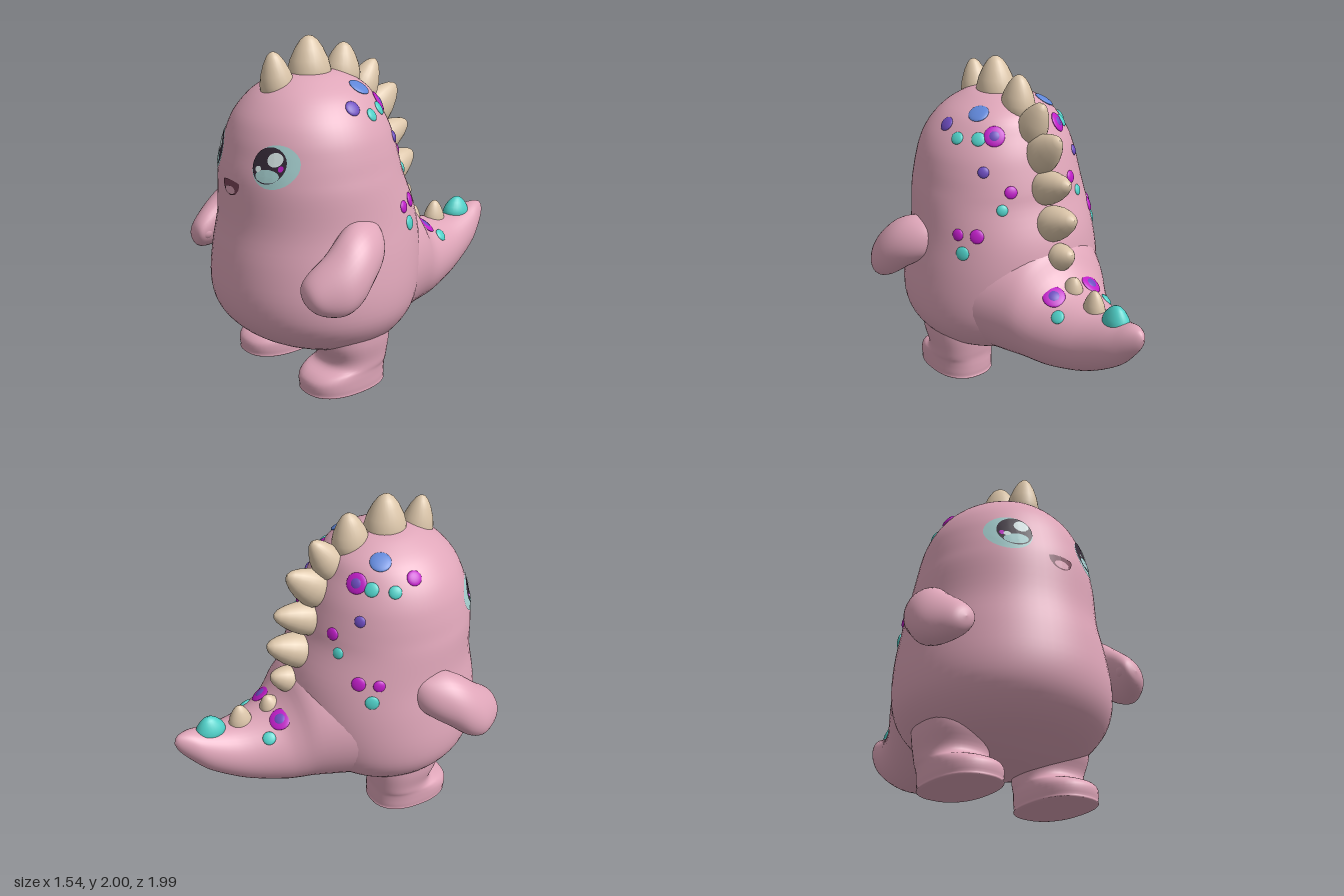
import * as THREE from 'three';

const mat = (name, color) => {
  const m = new THREE.MeshStandardMaterial({ color });
  m.name = name;
  return m;
};

// Catmull-Rom blend of two neighbouring rows of numbers
const blend = (p0, p1, p2, p3, t) => p1.map((b, i) => {
  const a = p0[i], c = p2[i], d = p3[i];
  return 0.5 * (2 * b + (c - a) * t + (2 * a - 5 * b + 4 * c - d) * t * t + (3 * b - a - 3 * c + d) * t * t * t);
});

// Smooth skin over oval sections. Row: [position, x0, x1, v0, v1].
// Axis 'y': rows rise and v is z. Axis 'z': rows run backwards and v is y.
function loft(rows, axis, { side = 1, shear = 0, sub = 4, n = 48, power = 1 } = {}) {
  const rings = [];
  for (let i = 0; i < rows.length - 1; i++) {
    for (let k = 0; k < sub; k++) {
      rings.push(blend(rows[Math.max(i - 1, 0)], rows[i], rows[i + 1], rows[Math.min(i + 2, rows.length - 1)], k / sub));
    }
  }
  rings.push(rows[rows.length - 1]);
  const pos = [], index = [];
  const soft = (v) => Math.sign(v) * Math.abs(v) ** power;
  rings.forEach(([t, x0, x1, v0, v1], i) => {
    for (let j = 0; j < n; j++) {
      const a = (j / n) * Math.PI * 2;
      const dv = soft(Math.sin(a)) * (v1 - v0) / 2;
      const x = side * ((x0 + x1) / 2 - shear * dv) + soft(Math.cos(a)) * (x1 - x0) / 2;
      const v = (v0 + v1) / 2 + dv;
      if (axis === 'y') pos.push(x, Math.max(t, 0), v);
      else pos.push(x, v, t);
      if (i < rings.length - 1) {
        const p = i * n + j, q = i * n + (j + 1) % n;
        index.push(p, p + n, q, q, p + n, q + n);
      }
    }
  });
  const g = new THREE.BufferGeometry();
  g.setAttribute('position', new THREE.Float32BufferAttribute(pos, 3));
  g.setIndex(index);
  g.computeVertexNormals();
  return g;
}

export function createModel() {
  const group = new THREE.Group();
  const skin = mat('pink skin', 0xdfa6b9);
  const horn = mat('beige horn', 0xdcc6aa);
  const teal = mat('teal', 0x4fd0c8);
  const magenta = mat('magenta', 0xc01cc8);
  const violet = mat('violet', 0x6d4cc0);
  const blue = mat('blue', 0x5f86d8);
  const pale = mat('pale eye', 0xa5cfcf);
  const dark = mat('dark pupil', 0x352a38);
  const white = mat('eye glint', 0xdcecec);
  const mouthDark = mat('mouth inside', 0x7a4558);
  const add = (name, geo, material) => {
    const m = new THREE.Mesh(geo, material);
    m.name = name;
    group.add(m);
    return m;
  };

  // Body: [y, half width, back z, front z]
  const body = add('body', loft([
    [0.19, 0, 0.37, 0.37], [0.195, 0.2, 0.12, 0.57], [0.25, 0.42, -0.02, 0.72], [0.33, 0.535, -0.12, 0.86],
    [0.45, 0.61, -0.2, 0.96], [0.6, 0.625, -0.24, 0.995], [0.8, 0.6, -0.25, 0.98], [1, 0.56, -0.22, 0.945],
    [1.2, 0.535, -0.14, 0.935], [1.3, 0.515, -0.115, 0.925], [1.4, 0.495, -0.085, 0.9], [1.5, 0.465, -0.05, 0.87],
    [1.6, 0.41, 0, 0.82], [1.7, 0.32, 0.06, 0.73], [1.77, 0.2, 0.17, 0.62], [1.8, 0.11, 0.27, 0.52], [1.81, 0, 0.4, 0.4],
  ].map(([y, w, b, f]) => [y, -w, w, b, f]), 'y', { n: 64 }), skin);

  // Tail: [z, half width, bottom y, top y]
  const tail = add('tail', loft([
    [0.3, 0.56, 0.22, 1.0], [0.15, 0.56, 0.2, 1.05], [0, 0.49, 0.2, 1.05], [-0.2, 0.385, 0.215, 0.97], [-0.3, 0.33, 0.225, 0.84],
    [-0.4, 0.285, 0.245, 0.755], [-0.6, 0.205, 0.31, 0.705], [-0.8, 0.135, 0.43, 0.72],
    [-0.9, 0.085, 0.53, 0.74], [-0.97, 0.035, 0.62, 0.73], [-0.995, 0, 0.685, 0.685],
  ].map(([z, w, b, t]) => [z, -w, w, b, t]), 'z'), skin);

  // Legs with toes, arms with thumbs
  for (const side of [1, -1]) {
    const label = side > 0 ? 'left' : 'right';
    add(label + 'Leg', loft([
      [0, 0.325, 0.325, 0.43, 0.43], [0, 0.15, 0.5, 0.19, 0.665], [0.02, 0.133, 0.517, 0.172, 0.687],
      [0.08, 0.13, 0.52, 0.168, 0.69], [0.12, 0.135, 0.52, 0.168, 0.65], [0.15, 0.138, 0.522, 0.167, 0.575],
      [0.2, 0.14, 0.525, 0.16, 0.56], [0.3, 0.14, 0.54, 0.15, 0.6], [0.42, 0.14, 0.54, 0.15, 0.6],
    ], 'y', { side, n: 40, power: 0.85 }), skin);
    add(label + 'Arm', loft([
      [0.865, 0.59, 0.59, 0.75, 0.75], [0.85, 0.53, 0.65, 0.69, 0.81], [0.8, 0.515, 0.7, 0.645, 0.87],
      [0.7, 0.52, 0.755, 0.63, 0.95], [0.6, 0.5, 0.76, 0.665, 1.03], [0.5, 0.45, 0.73, 0.74, 1.07],
      [0.4, 0.45, 0.67, 0.81, 1.06], [0.33, 0.45, 0.59, 0.87, 1.03], [0.29, 0.48, 0.48, 0.95, 0.95],
    ], 'z', { side, shear: 0.25, n: 32 }), skin);
    const thumb = add(label + 'Thumb', new THREE.SphereGeometry(0.055, 20, 14), skin);
    thumb.position.set(side * 0.565, 0.765, 0.8);
  }

  // Spine plates: [base z, base y, tip z, tip y, half length, half width]
  const spikeGeo = new THREE.LatheGeometry([
    [0, -0.4], [0.8, -0.35], [1, -0.1], [0.97, 0.15], [0.85, 0.4], [0.62, 0.68], [0.38, 0.88], [0.18, 0.97], [0, 1],
  ].map((p) => new THREE.Vector2(...p)), 24);
  [
    [0.61, 1.73, 0.64, 1.935, 0.1, 0.095], [0.395, 1.78, 0.395, 2, 0.13, 0.12], [0.17, 1.74, 0.15, 1.935, 0.115, 0.1],
    [0.03, 1.64, -0.075, 1.81, 0.1, 0.09], [-0.06, 1.5, -0.235, 1.635, 0.115, 0.09], [-0.11, 1.31, -0.325, 1.39, 0.105, 0.1],
    [-0.17, 1.1, -0.375, 1.19, 0.11, 0.11], [-0.245, 0.91, -0.36, 0.965, 0.085, 0.08],
    [-0.37, 0.74, -0.395, 0.83, 0.068, 0.06], [-0.57, 0.69, -0.575, 0.82, 0.075, 0.06], [-0.765, 0.7, -0.775, 0.805, 0.095, 0.07],
  ].forEach(([bz, by, tz, ty, len, wid], i) => {
    const spike = add('spinePlate' + (i + 1), spikeGeo, i === 10 ? teal : horn);
    spike.position.set(0, by, bz);
    spike.scale.set(wid, Math.hypot(tz - bz, ty - by), len);
    spike.rotation.x = Math.atan2(tz - bz, ty - by);
  });

  // Find the skin under a ray, for laying details on it
  group.updateMatrixWorld(true);
  const ray = new THREE.Raycaster();
  const touch = (from, dir) => {
    ray.set(new THREE.Vector3(...from), new THREE.Vector3(...dir));
    return ray.intersectObjects([body, tail])[0];
  };

  // Spots: 'top' entries are placed by x and z, 'side' entries by y and z
  const dot = new THREE.SphereGeometry(1, 20, 12);
  const spots = [
    ['top', 0.37, 0.375, 0.045, violet], ['top', 0.24, 0.23, 0.062, blue], ['top', 0.38, 0.25, 0.038, teal],
    ['top', 0.23, 0.085, 0.062, magenta, violet], ['top', 0.305, 0.14, 0.042, teal],
    ['side', 1.43, 0.055, 0.034, violet], ['side', 1.315, -0.06, 0.038, magenta], ['side', 1.215, -0.055, 0.034, teal],
    ['side', 1.06, 0.105, 0.036, magenta], ['side', 1.065, 0.005, 0.043, magenta], ['side', 0.955, 0.06, 0.042, teal],
    ['top', 0.14, -0.37, 0.068, magenta, violet], ['top', 0.185, -0.465, 0.04, teal],
  ];
  for (const side of [1, -1]) {
    spots.forEach(([kind, u, z, r, colour, core], i) => {
      const hit = kind === 'top' ? touch([side * u, 3, z], [0, -1, 0]) : touch([side * 3, u, z], [-side, 0, 0]);
      if (!hit) return;
      const place = (name, size, thick, material) => {
        const m = add(name, dot, material);
        m.position.copy(hit.point);
        m.quaternion.setFromUnitVectors(new THREE.Vector3(0, 0, 1), hit.face.normal);
        m.scale.set(size, size, thick);
      };
      place('spot', r, 0.014, i === 0 && side < 0 ? magenta : colour);
      if (core) place('spotCore', r * 0.65, 0.018, core);
    });
  }

  // Thin oval plates wrapped onto the face; from..span cuts a sector
  const decal = (name, x, y, rx, ry, lift, material, from = 0, span = Math.PI * 2) => {
    const g = new THREE.RingGeometry(0.001, 1, 28, 5, from, span);
    const p = g.attributes.position;
    for (let i = 0; i < p.count; i++) {
      const px = x + p.getX(i) * rx, py = y + p.getY(i) * ry;
      p.setXYZ(i, px, py, touch([px, py, 3], [0, 0, -1]).point.z + lift);
    }
    g.computeVertexNormals();
    add(name, g, material);
  };
  for (const s of [1, -1]) {
    decal('eye', s * 0.27, 1.378, 0.112, 0.117, 0.004, pale);
    decal('pupil', s * 0.245, 1.385, 0.085, 0.098, 0.007, dark);
    decal('irisGlow', s * 0.25, 1.33, 0.06, 0.036, 0.010, pale);
    decal('irisFleck', s * 0.31, 1.375, 0.012, 0.016, 0.010, magenta);
    decal('glint', s * 0.245 + 0.032, 1.42, 0.037, 0.038, 0.012, white);
    decal('smallGlint', s * 0.245 - 0.045, 1.365, 0.016, 0.016, 0.012, white);
  }
  decal('mouth', 0, 1.25, 0.08, 0.072, 0.004, mouthDark, Math.PI, Math.PI);
  decal('upperLip', 0, 1.25, 0.08, 0.014, 0.004, mouthDark, 0, Math.PI);
  decal('tongue', 0, 1.208, 0.05, 0.024, 0.008, skin);
  return group;
}
